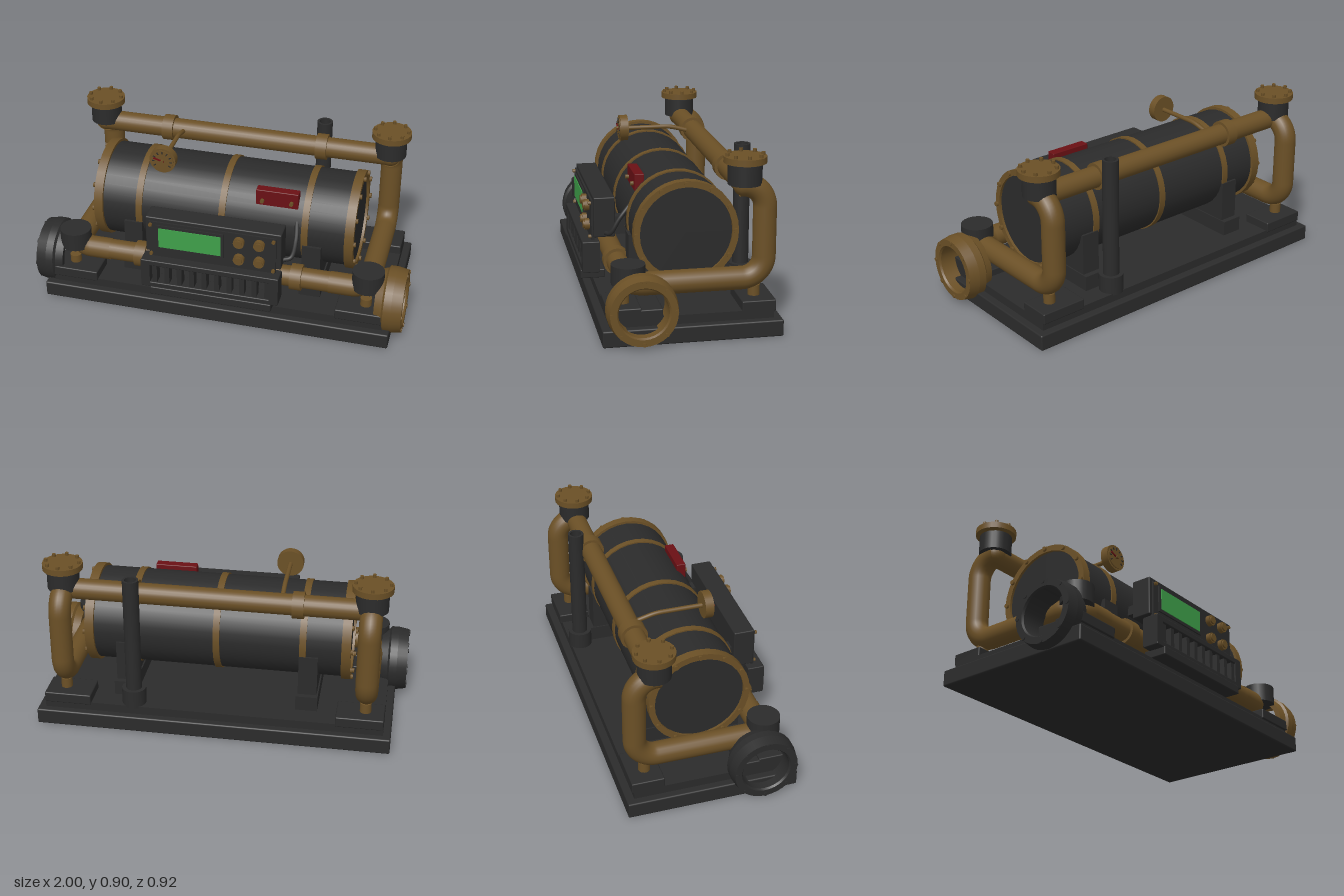
import * as THREE from 'three';
import { RoundedBoxGeometry } from 'three/addons/geometries/RoundedBoxGeometry.js';

const V = (x, y, z) => new THREE.Vector3(x, y, z);

export function createModel() {
  const model = new THREE.Group();
  model.name = 'pressureTankSkid';
  const material = (name, color) => {
    const m = new THREE.MeshStandardMaterial({ color });
    m.name = name;
    return m;
  };
  const dark = material('dark iron', 0x2b2b2b);
  const brass = material('aged brass', 0x6b5026);
  const red = material('warning red', 0x6a1014);
  const green = material('screen green', 0x3fa04a);
  dark.side = brass.side = THREE.DoubleSide;

  const add = (name, geo, mat, x = 0, y = 0, z = 0) => {
    const m = new THREE.Mesh(geo, mat);
    m.name = name;
    m.position.set(x, y, z);
    model.add(m);
    return m;
  };
  // Box given by its limits on each axis
  const box = (name, mat, x0, x1, y0, y1, z0, z1, bevel = 0) => {
    const w = x1 - x0, h = y1 - y0, d = z1 - z0;
    const geo = bevel ? new RoundedBoxGeometry(w, h, d, 2, bevel) : new THREE.BoxGeometry(w, h, d);
    return add(name, geo, mat, (x0 + x1) / 2, (y0 + y1) / 2, (z0 + z1) / 2);
  };
  // Cylinder along a chosen axis
  const cyl = (name, mat, axis, r, len, x, y, z, sides = 24) => {
    const geo = new THREE.CylinderGeometry(r, r, len, sides);
    if (axis === 'x') geo.rotateZ(-Math.PI / 2);
    if (axis === 'z') geo.rotateX(Math.PI / 2);
    return add(name, geo, mat, x, y, z);
  };
  // Ring along x from a closed cross-section of [radius, x] points
  const ring = (name, mat, section, x, y, z) => {
    const pts = [];
    section.forEach(([r, h], i) => {
      const [r2, h2] = section[(i + 1) % section.length];
      pts.push([[r, h], [r2, h2]]);
    });
    pts.forEach((p) => {
      const geo = new THREE.LatheGeometry(p.map(([r, h]) => new THREE.Vector2(r, h)), 32);
      add(name, geo.rotateZ(-Math.PI / 2), mat, x, y, z);
    });
  };
  // Pipe through corner points with round bends
  const pipe = (name, mat, pts, r, bends, segs) => {
    const path = new THREE.CurvePath();
    let last = pts[0];
    for (let i = 1; i < pts.length - 1; i++) {
      const p = pts[i];
      const a = p.clone().addScaledVector(pts[i - 1].clone().sub(p).normalize(), bends[i - 1]);
      const b = p.clone().addScaledVector(pts[i + 1].clone().sub(p).normalize(), bends[i - 1]);
      path.add(new THREE.LineCurve3(last, a));
      path.add(new THREE.CubicBezierCurve3(a, a.clone().lerp(p, 0.55), b.clone().lerp(p, 0.55), b));
      last = b;
    }
    path.add(new THREE.LineCurve3(last, pts[pts.length - 1]));
    return add(name, new THREE.TubeGeometry(path, segs, r, 20), mat);
  };
  const around = (n, r, fn) => {
    for (let i = 0; i < n; i++) fn(r * Math.cos(i * 2 * Math.PI / n), r * Math.sin(i * 2 * Math.PI / n));
  };

  // Skid
  box('base', dark, -0.94, 0.94, 0, 0.085, -0.46, 0.43, 0.008);
  box('deck', dark, -0.9, 0.9, 0.08, 0.13, -0.42, 0.39);

  // Tank with end flanges, bolts and straps
  const ty = 0.478, tz = -0.022;
  cyl('tank', dark, 'x', 0.25, 1.33, 0, ty, tz, 32);
  for (const x of [-0.455, 0, 0.445]) cyl('tankStrap', brass, 'x', 0.257, 0.035, x, ty, tz, 32);
  for (const s of [-1, 1]) {
    ring('tankFlange', brass, [[0.232, -0.024], [0.264, -0.024], [0.264, 0.024], [0.232, 0.024]], s * 0.68, ty, tz);
    cyl('tankEnd', dark, 'x', 0.234, 0.03, s * 0.675, ty, tz, 32);
    around(12, 0.249, (a, b) => cyl('tankBolt', brass, 'x', 0.013, 0.02, s * 0.706, ty + a, tz + b, 6));
    // Saddle supports
    const x = s * 0.487;
    box('saddle', dark, x - 0.05, x + 0.05, 0.12, 0.43, -0.28, 0.24);
    box('saddleFoot', dark, x - 0.058, x + 0.058, 0.12, 0.21, -0.31, 0.25);
  }

  // Pipework
  const px = 0.8, pz = 0.285;
  cyl('topPipe', brass, 'x', 0.055, 1.6, 0, 0.738, -pz);
  cyl('frontPipe', brass, 'x', 0.055, 1.4, 0, 0.266, pz);
  for (const s of [-1, 1]) {
    const x = s * px;
    pipe('sidePipe', brass, [V(x, 0.738, -0.26), V(x, 0.738, -0.388), V(x, 0.266, -0.388), V(x, 0.266, pz),
      V(s * 0.6, 0.266, pz)], 0.058, [0.11, 0.11, 0.09], 110);
    add('pipeJoint', new THREE.SphereGeometry(0.058, 20, 14), brass, x, 0.738, -pz);
    cyl('pipeSleeve', brass, 'x', 0.07, 0.06, s * 0.43, 0.738, -pz);
    cyl('pipeSleeve', brass, 'x', 0.07, 0.06, s * 0.425, 0.266, pz);
    // Valve caps
    cyl('valveBody', dark, 'y', 0.084, 0.1, x, 0.793, -pz);
    cyl('valveNeck', dark, 'y', 0.06, 0.02, x, 0.847, -pz);
    cyl('valveFlange', brass, 'y', 0.105, 0.032, x, 0.866, -pz);
    around(8, 0.088, (a, b) => cyl('valveBolt', brass, 'y', 0.01, 0.02, x + a, 0.888, -pz + b, 6));
    cyl('lowerCap', dark, 'y', 0.084, 0.1, x, 0.322, pz);
    // Pads and feet
    const pad = (name, x0, x1, ...rest) => box(name, dark, Math.min(s * x0, s * x1), Math.max(s * x0, s * x1), ...rest);
    pad('rearPad', 0.65, 0.9, 0.12, 0.177, -0.43, -0.26, 0.006);
    pad('frontPad', 0.65, 0.9, 0.12, 0.177, 0.235, 0.4, 0.006);
    pad('innerPad', 0.7, 0.9, 0.12, 0.167, 0.13, 0.31, 0.006);
    cyl('rearFoot', brass, 'y', 0.03, 0.06, x, 0.2, -0.34);
    cyl('frontFoot', brass, 'y', 0.03, 0.06, x, 0.19, 0.31);
    // Open end coupling
    const mat = s > 0 ? brass : dark;
    const section = [[0.123, -0.1], [0.15, -0.1], [0.162, -0.06], [0.175, -0.05], [0.175, -0.01], [0.165, 0.045], [0.13, 0.045], [0.123, 0.035]];
    ring('endCoupling', mat, section.map(([r, h]) => [r, s * h]), s * 0.95, 0.182, 0.238);
    around(8, 0.155, (a, b) => cyl('couplingBolt', mat, 'x', 0.011, 0.02, s * 0.99, 0.182 + a, 0.238 + b, 6));
  }

  // Exhaust stack
  const tube = [[0.03, 0.19], [0.042, 0.19], [0.042, 0.85], [0.03, 0.85], [0.03, 0.19]];
  for (let i = 0; i < 4; i++) {
    const pts = [tube[i], tube[i + 1]].map(([r, y]) => new THREE.Vector2(r, y));
    add('stack', new THREE.LatheGeometry(pts, 24), dark, 0.425, 0, -0.365);
  }
  cyl('stackFlange', dark, 'y', 0.064, 0.1, 0.425, 0.17, -0.365);

  // Control cabinet
  box('cabinet', dark, -0.365, 0.36, 0.37, 0.58, 0.28, 0.39, 0.006);
  box('panelFrame', dark, -0.345, 0.335, 0.35, 0.56, 0.385, 0.4);
  box('screenSurround', dark, -0.305, 0.06, 0.4, 0.545, 0.395, 0.408);
  box('screen', green, -0.29, 0.045, 0.415, 0.53, 0.405, 0.412);
  for (const y of [0.515, 0.412]) for (const x of [0.142, 0.249]) {
    cyl('knob', brass, 'z', 0.029, 0.025, x, y, 0.412, 16);
    cyl('knobCap', brass, 'z', 0.022, 0.012, x, y, 0.427, 16);
  }
  for (const y of [0.545, 0.367]) for (const x of [-0.333, 0.323]) cyl('panelScrew', brass, 'z', 0.01, 0.016, x, y, 0.406, 6);
  for (const x of [-0.3, 0.31]) box('cabinetBracket', dark, x - 0.03, x + 0.03, 0.42, 0.47, 0.2, 0.29);

  // Slatted guard under the cabinet
  box('guardTop', dark, -0.38, 0.36, 0.315, 0.347, 0.36, 0.45, 0.005);
  box('guardBottom', dark, -0.38, 0.36, 0.18, 0.21, 0.36, 0.45, 0.005);
  for (const x of [-0.356, 0.336]) box('guardSide', dark, x - 0.024, x + 0.024, 0.19, 0.34, 0.36, 0.45);
  for (let i = 0; i < 10; i++) {
    const x = -0.308 + i * 0.0675;
    box('guardSlat', dark, x - 0.013, x + 0.013, 0.2, 0.325, 0.39, 0.44);
  }
  box('guardFoot', dark, -0.33, 0.325, 0.14, 0.185, 0.33, 0.458, 0.005);

  // Cable from cabinet to tank
  const cable = new THREE.CatmullRomCurve3([V(0.35, 0.39, 0.33), V(0.395, 0.4, 0.31), V(0.41, 0.48, 0.265), V(0.4, 0.56, 0.2)]);
  add('cable', new THREE.TubeGeometry(cable, 24, 0.012, 10), dark);

  // Red plate
  box('warningPlate', red, 0.175, 0.4, 0.61, 0.705, 0.135, 0.185, 0.004);
  for (const [x, y] of [[0.21, 0.645], [0.365, 0.65]]) cyl('plateScrew', brass, 'z', 0.011, 0.02, x, y, 0.192, 8);

  // Pressure gauge and its feed line
  const gx = -0.34, gy = 0.78;
  pipe('gaugeLine', brass, [V(gx, 0.777, 0.12), V(gx, 0.777, -0.14), V(gx, 0.745, -0.26)], 0.012, [0.03], 24);
  cyl('gaugeBody', brass, 'z', 0.071, 0.043, gx, gy, 0.1265, 28);
  cyl('gaugeFace', brass, 'z', 0.06, 0.006, gx, gy, 0.15, 28);
  for (let i = 0; i < 9; i++) {
    const a = -0.6 + i * 0.54;
    const tick = add('gaugeTick', new THREE.BoxGeometry(0.014, 0.005, 0.005), dark, gx + 0.048 * Math.cos(a), gy + 0.048 * Math.sin(a), 0.154);
    tick.rotation.z = a;
  }
  const needle = add('gaugeNeedle', new THREE.BoxGeometry(0.06, 0.008, 0.005), red, gx - 0.018, gy + 0.006, 0.156);
  needle.rotation.z = -0.3;
  cyl('gaugeHub', brass, 'z', 0.009, 0.014, gx, gy, 0.159, 10);

  return model;
}
